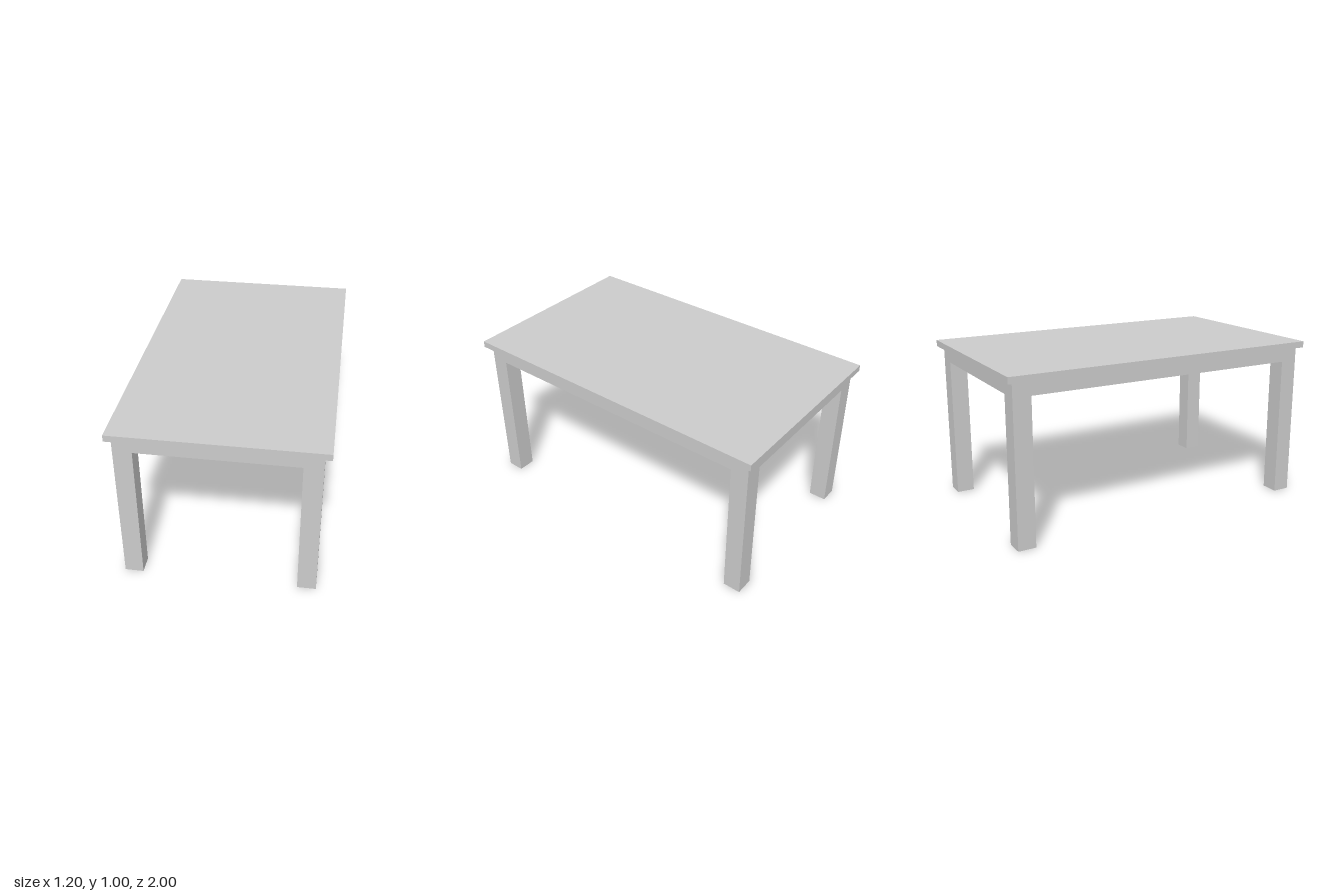
import * as THREE from 'three';

export function createModel() {
  const table = new THREE.Group();
  table.name = 'table';
  const material = new THREE.MeshStandardMaterial({ color: 0xcccccc, flatShading: true });

  // Box given by its extents along each axis
  const addBox = (name, [x0, x1], [y0, y1], [z0, z1]) => {
    const mesh = new THREE.Mesh(new THREE.BoxGeometry(x1 - x0, y1 - y0, z1 - z0), material);
    mesh.position.set((x0 + x1) / 2, (y0 + y1) / 2, (z0 + z1) / 2);
    mesh.name = name;
    table.add(mesh);
  };

  const top = 0.995, underside = 0.956, apronBottom = 0.872, apronThickness = 0.045;
  const legX = { right: [-0.569, -0.46], left: [0.452, 0.561] };
  const legZ = { back: [-0.966, -0.858], front: [0.86, 0.967] };

  addBox('tabletop', [-0.6, 0.6], [underside, top], [-1, 1]);

  // Four square legs
  for (const [zName, z] of Object.entries(legZ))
    for (const [xName, x] of Object.entries(legX))
      addBox(`${zName}${xName === 'left' ? 'Left' : 'Right'}Leg`, x, [0, underside], z);

  // Apron rails between the legs, flush with their outer faces
  const railY = [apronBottom, underside];
  const spanX = [legX.right[1], legX.left[0]];
  const spanZ = [legZ.back[1], legZ.front[0]];
  addBox('frontApron', spanX, railY, [legZ.front[1] - apronThickness, legZ.front[1]]);
  addBox('backApron', spanX, railY, [legZ.back[0], legZ.back[0] + apronThickness]);
  addBox('leftApron', [legX.left[1] - apronThickness, legX.left[1]], railY, spanZ);
  addBox('rightApron', [legX.right[0], legX.right[0] + apronThickness], railY, spanZ);

  return table;
}
